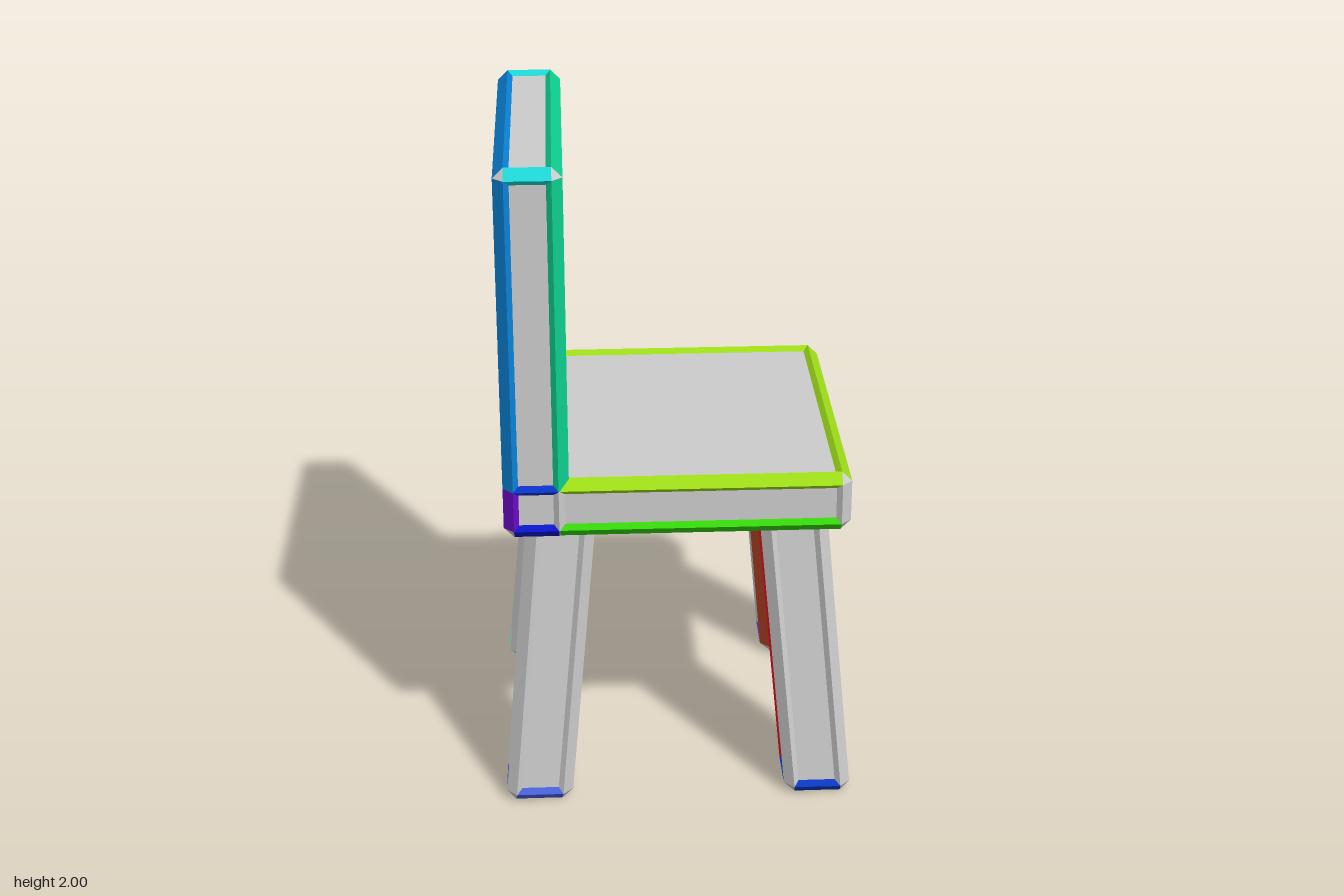
import * as THREE from 'three';

const GREY = 0xcccccc;
const C = 0.03;   // chamfer on every edge
const W = 0.015;  // width and depth of the slope down to each recessed panel
const AXES = [0, 1, 2];
const SIGNS = [-1, 1];

// Box with chamfered edges standing proud of its recessed face panels.
// edgeColor(s): s holds the sign of the two faces meeting at the edge, 0 along it.
// warp(v): optional rule that moves every vertex.
function rimmedBox(name, min, max, edgeColor, warp = () => {}) {
  const buckets = new Map();
  const mid = AXES.map(i => (min[i] + max[i]) / 2);
  const half = AXES.map(i => (max[i] - min[i]) / 2);

  // Corner point: each axis has a sign and an inset from the outer side
  const point = (sign, inset) => new THREE.Vector3(
    ...AXES.map(i => mid[i] + sign[i] * (half[i] - inset[i])));
  const near = (sign, axis, inset, depth) =>
    point(sign, AXES.map(i => (i === axis ? depth : inset)));

  // Add a triangle or quad, turned to face along the hint direction
  function face(pts, hint, color) {
    const n = pts[1].clone().sub(pts[0]).cross(pts[2].clone().sub(pts[0]));
    if (n.dot(new THREE.Vector3(...hint)) < 0) pts.reverse();
    pts.forEach(warp);
    if (!buckets.has(color)) buckets.set(color, []);
    for (let i = 2; i < pts.length; i++) {
      for (const p of [pts[0], pts[i - 1], pts[i]]) buckets.get(color).push(p.x, p.y, p.z);
    }
  }

  for (const a of AXES) {
    const b = (a + 1) % 3, c = (a + 2) % 3;
    const signs = (sa, sb, sc) => {
      const s = [0, 0, 0];
      s[a] = sa; s[b] = sb; s[c] = sc;
      return s;
    };
    for (const sa of SIGNS) {
      // Recessed panel
      const hint = signs(sa, 0, 0);
      const loop = [[-1, -1], [1, -1], [1, 1], [-1, 1]].map(([p, q]) => signs(sa, p, q));
      face(loop.map(s => near(s, a, C + W, W)), hint, GREY);
      // Slopes from the rim down to the panel
      loop.forEach((s, i) => {
        const t = loop[(i + 1) % 4];
        const edge = s.map((v, k) => (v === t[k] ? v : 0));
        face([near(s, a, C, 0), near(t, a, C, 0), near(t, a, C + W, W), near(s, a, C + W, W)],
          hint, edgeColor(edge));
      });
      // Chamfers of the edges that run along axis c
      for (const sb of SIGNS) {
        const s = signs(sa, sb, -1), t = signs(sa, sb, 1), edge = signs(sa, sb, 0);
        face([near(s, a, C, 0), near(t, a, C, 0), near(t, b, C, 0), near(s, b, C, 0)],
          edge, edgeColor(edge));
      }
    }
  }
  // Corner facets
  for (const x of SIGNS) for (const y of SIGNS) for (const z of SIGNS) {
    const s = [x, y, z];
    face(AXES.map(a => near(s, a, C, 0)), s, GREY);
  }

  const group = new THREE.Group();
  group.name = name;
  for (const [color, data] of buckets) {
    const geometry = new THREE.BufferGeometry();
    geometry.setAttribute('position', new THREE.Float32BufferAttribute(data, 3));
    geometry.computeVertexNormals();
    const mesh = new THREE.Mesh(geometry,
      new THREE.MeshStandardMaterial({ color, flatShading: true }));
    mesh.name = name + (color === GREY ? 'Panels' : 'Trim');
    group.add(mesh);
  }
  return group;
}

export function createModel() {
  const chair = new THREE.Group();
  chair.name = 'chair';

  // Seat: lime upper rim, green lower rim
  chair.add(rimmedBox('seat', [-0.375, 0.885, -0.5], [0.5, 1.07, 0.5],
    ([, y]) => (y > 0 ? 0x9edd18 : y < 0 ? 0x35d80a : GREY)));

  // Block joining the seat and the backrest
  chair.add(rimmedBox('backBase', [-0.505, 0.885, -0.503], [-0.315, 1.07, 0.503],
    ([x, y]) => (y > 0 ? 0x0a32c8 : y < 0 ? 0x0a14c8 : x < 0 ? 0x6a0ac8 : GREY)));

  // Backrest: green front rim, blue rear rim, cyan top ends
  chair.add(rimmedBox('backrest', [-0.505, 1.01, -0.503], [-0.315, 2, 0.503],
    ([x, y]) => (y < 0 ? 0x0a32c8 : x > 0 ? 0x0ed090 : x < 0 ? 0x0a82d8 : 0x1ed6d6)));

  // Splayed legs: coloured foot rim and a red inner edge
  const legs = [
    ['frontLeftLeg', 1, 1, 0x0a38c0, 0xdd1020],
    ['frontRightLeg', 1, -1, 0x6040e0, 0xc04828],
    ['backLeftLeg', -1, 1, 0x4860d8, 0x8a1010],
    ['backRightLeg', -1, -1, 0x50dce0, 0xe04858],
  ];
  for (const [name, sx, sz, foot, inner] of legs) {
    const splay = v => {
      const offset = 0.424 - 0.094 * v.y;
      v.x += sx * offset;
      v.z += sz * offset;
    };
    chair.add(rimmedBox(name, [-0.1, 0, -0.1], [0.1, 0.96, 0.1],
      ([x, y, z]) => (y < 0 ? foot : x === -sx && z === -sz ? inner : GREY), splay));
  }
  return chair;
}
